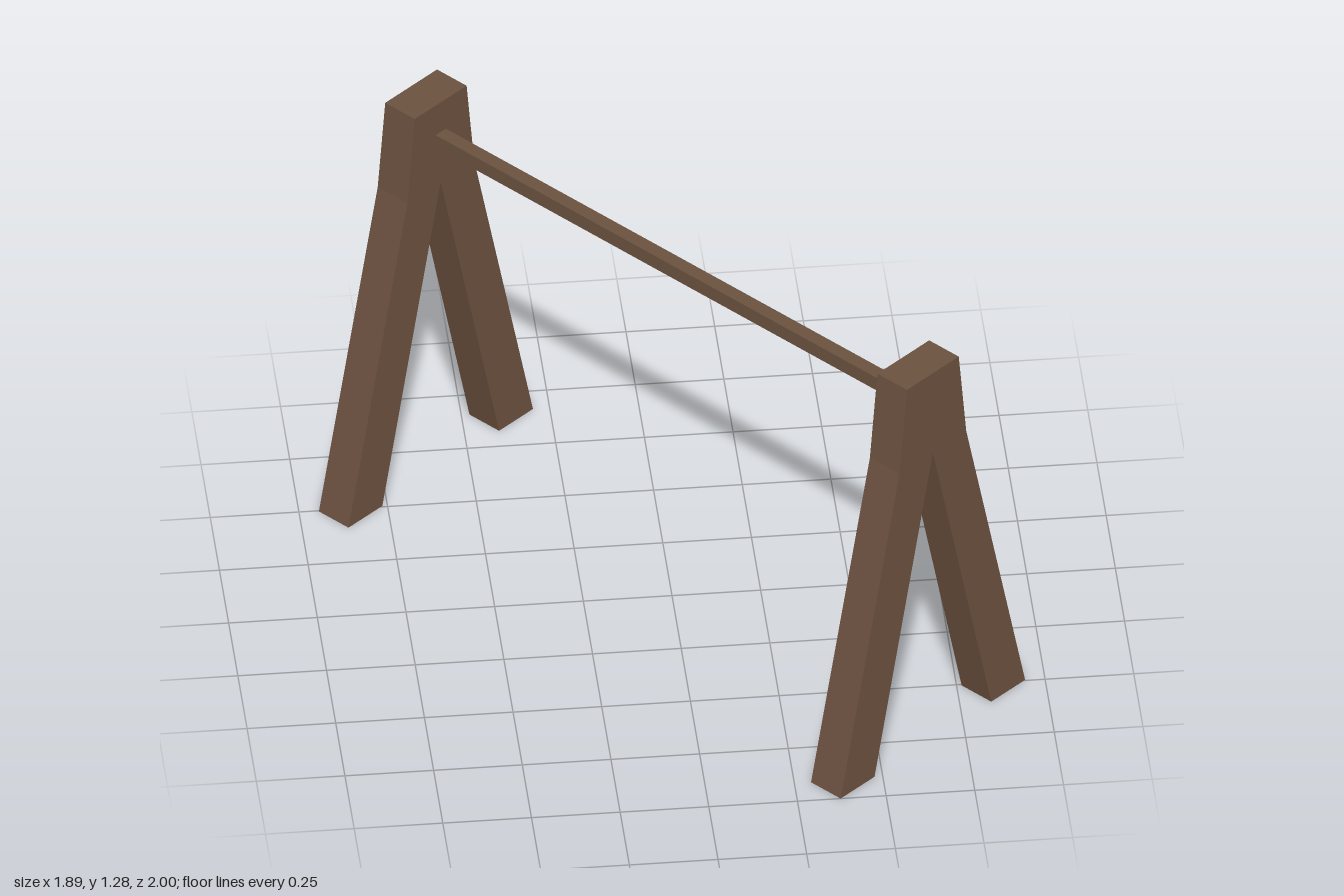
import * as THREE from 'three';

export function createModel() {
  const group = new THREE.Group();
  group.name = 'crossbarOnTrestles';
  const wood = new THREE.MeshStandardMaterial({ color: 0x6b513f, flatShading: true });
  const thickness = 0.113, spacing = 0.94;

  // A-shaped outline: flared block on top, two splayed legs below
  const right = [[0.107, 1.277], [0.138, 1.0], [0.381, 0], [0.241, 0]];
  const left = right.map(([x, y]) => [-x, y]).reverse();
  const outline = [...right, [0, 1.0], ...left].map(([x, y]) => new THREE.Vector2(x, y));
  const trestleGeometry = new THREE.ExtrudeGeometry(new THREE.Shape(outline), {
    depth: thickness, bevelEnabled: false,
  });
  trestleGeometry.translate(0, 0, -thickness / 2);

  for (const [name, side] of [['frontTrestle', 1], ['backTrestle', -1]]) {
    const trestle = new THREE.Mesh(trestleGeometry, wood);
    trestle.name = name;
    trestle.position.z = side * spacing;
    group.add(trestle);
  }

  // Thin bar between the inner faces of the trestles
  const bar = new THREE.Mesh(new THREE.BoxGeometry(0.042, 0.044, 2 * spacing - thickness), wood);
  bar.name = 'crossbar';
  bar.position.y = 1.152;
  group.add(bar);

  // The whole assembly stands diagonally
  group.rotation.y = 0.721;
  const model = new THREE.Group();
  model.name = 'hurdle';
  model.add(group);
  return model;
}
